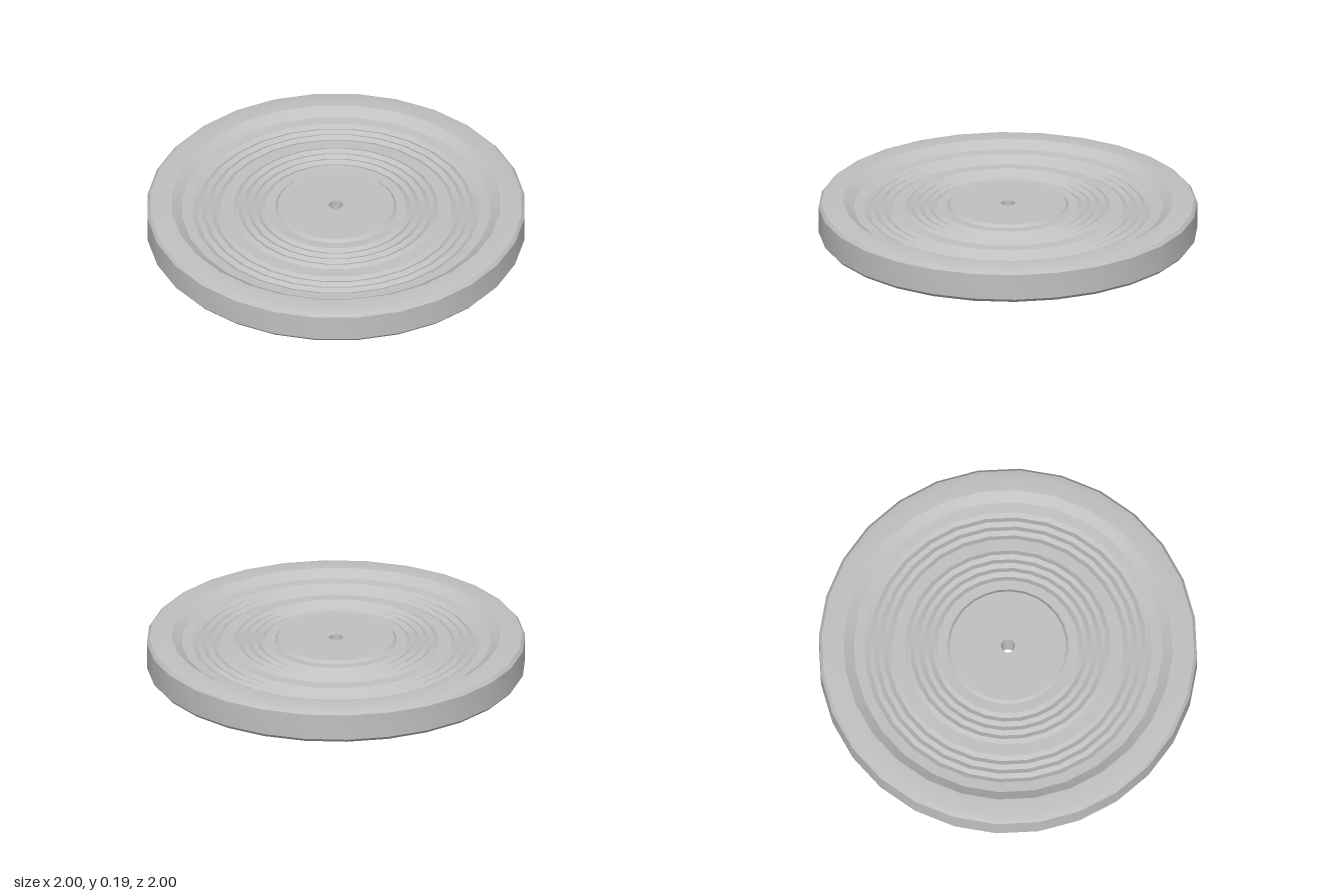
import * as THREE from 'three';
import { toCreasedNormals } from 'three/addons/utils/BufferGeometryUtils.js';

const SIDES = 28;
const HEIGHT = 0.19;
const grey = new THREE.MeshStandardMaterial({ color: 0xc0c0c0 });
grey.name = 'plain grey';

// Lathed surface; profile runs up the outside and inward over the top
function lathe(name, profile) {
  const points = profile.map(([r, y]) => new THREE.Vector2(r, y));
  const geometry = toCreasedNormals(new THREE.LatheGeometry(points, SIDES), 0.35);
  const mesh = new THREE.Mesh(geometry, grey);
  mesh.name = name;
  return mesh;
}

// Same surface on the top and mirrored on the underside
function bothFaces(name, profile) {
  const pair = new THREE.Group();
  pair.name = name;
  const under = profile.map(([r, y]) => [r, HEIGHT - y]).reverse();
  pair.add(lathe(name + 'Top', profile), lathe(name + 'Bottom', under));
  return pair;
}

// Zigzag of evenly spaced slopes from the outer radius to the inner one
function zigzag(outer, inner, slopes, firstY, secondY) {
  const points = [];
  for (let i = 0; i <= slopes; i++) {
    points.push([outer + (inner - outer) * i / slopes, i % 2 ? secondY : firstY]);
  }
  return points;
}

export function createModel() {
  const disc = new THREE.Group();
  disc.name = 'disc';

  // Outer wall and the wall of the centre hole
  disc.add(lathe('outerWall', [[1, HEIGHT - 0.165], [1, 0.165]]));
  disc.add(lathe('holeWall', [[0.037, 0.175], [0.037, HEIGHT - 0.175]]));

  // Raised rim with bevelled edge and sloping inner side
  disc.add(bothFaces('rim', [
    [1, 0.165], [0.985, 0.183], [0.955, 0.19], [0.87, 0.19], [0.815, 0.153], [0.76, 0.15],
  ]));

  // Two bands of concentric grooves with a flat ring between them
  disc.add(bothFaces('outerGrooves', zigzag(0.76, 0.61, 6, 0.15, 0.137)));
  disc.add(bothFaces('middleRing', [[0.61, 0.15], [0.545, 0.15]]));
  disc.add(bothFaces('innerGrooves', zigzag(0.545, 0.373, 7, 0.15, 0.163)));

  // Raised hub
  disc.add(bothFaces('hub', [
    [0.373, 0.163], [0.322, 0.16], [0.306, 0.175], [0.037, 0.175],
  ]));
  return disc;
}
